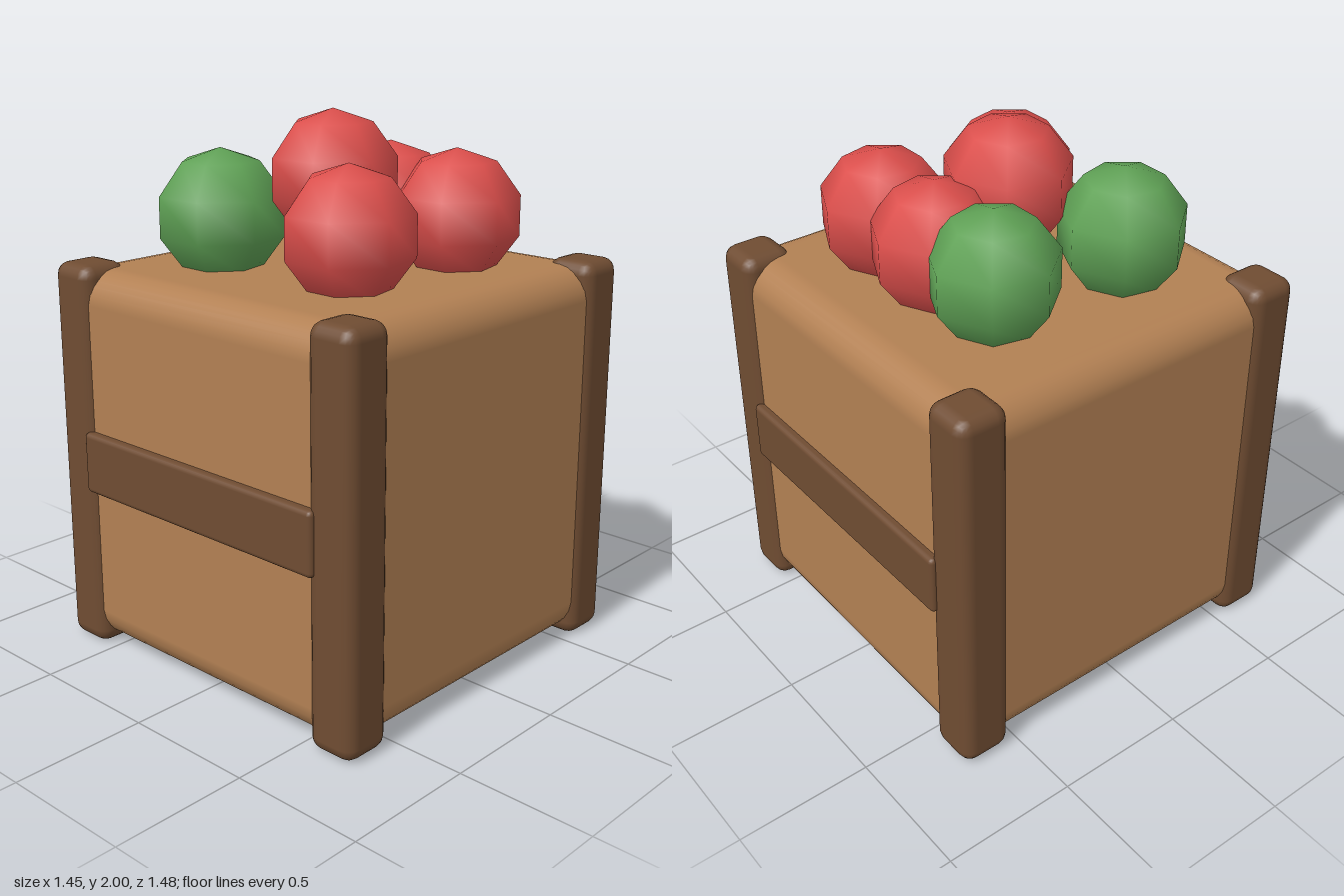
import * as THREE from 'three';
import { RoundedBoxGeometry } from 'three/addons/geometries/RoundedBoxGeometry.js';

function material(name, color) {
  const m = new THREE.MeshStandardMaterial({ color });
  m.name = name;
  return m;
}

export function createModel() {
  const group = new THREE.Group();
  group.name = 'appleCrate';
  const wood = material('lightWood', 0xb28053);
  const darkWood = material('darkWood', 0x6f4c32);
  const red = material('redSkin', 0xdb4e4b);
  const green = material('greenSkin', 0x5fa155);

  function add(name, geometry, mat, x, y, z) {
    const mesh = new THREE.Mesh(geometry, mat);
    mesh.name = name;
    mesh.position.set(x, y, z);
    group.add(mesh);
  }

  // Softly rounded crate body
  add('crateBody', new RoundedBoxGeometry(1.42, 1.42, 1.42, 3, 0.12), wood, 0, 0.73, 0);

  // Corner posts, with a slat across the front and the back
  const post = new RoundedBoxGeometry(0.195, 1.46, 0.195, 2, 0.05);
  const slat = new RoundedBoxGeometry(1.14, 0.23, 0.1, 2, 0.018);
  for (const sz of [1, -1]) {
    for (const sx of [1, -1]) {
      add('cornerPost', post, darkWood, sx * 0.629, 0.73, sz * 0.629);
    }
    add(sz > 0 ? 'frontSlat' : 'backSlat', slat, darkWood, 0, 0.735, sz * 0.692);
  }

  // Low-sided apples heaped on top, a corner of each pointing back
  const apple = new THREE.SphereGeometry(0.24, 7, 5).rotateY(-Math.PI / 2);
  const apples = [
    [green, -0.285, 1.62, -0.26],
    [red, 0, 1.62, -0.287],
    [red, 0.31, 1.62, -0.287],
    [green, -0.31, 1.62, 0.278],
    [red, 0.285, 1.62, 0.253],
    [red, 0, 1.76, 0.024],
  ];
  for (const [mat, x, y, z] of apples) add('apple', apple, mat, x, y, z);

  return group;
}
